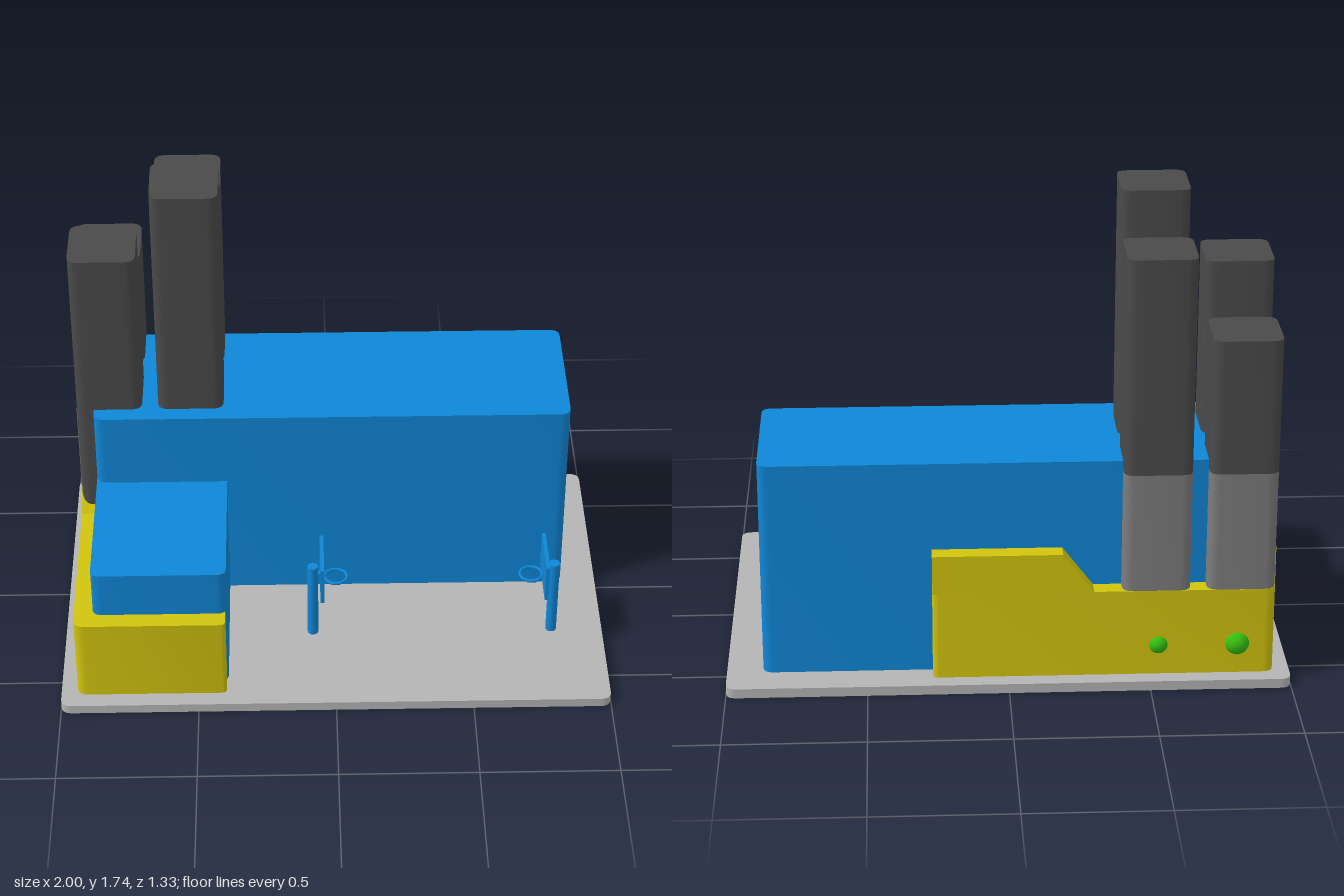
import * as THREE from 'three';
import { toCreasedNormals } from 'three/addons/utils/BufferGeometryUtils.js';

const paint = (color) => new THREE.MeshStandardMaterial({ color });
const blue = paint(0x0f86d6), yellow = paint(0xd2c40e), dark = paint(0x4a4a4a);
const grey = paint(0x7c7c7c), paving = paint(0xb4b4b4), green = paint(0x35c010);

export function createModel() {
  const root = new THREE.Group();

  function add(name, geometry, material, parent = root) {
    const mesh = new THREE.Mesh(geometry, material);
    mesh.name = name;
    parent.add(mesh);
    return mesh;
  }

  // Closed plan outline from [x, z, cornerRadius] points
  function outline(points) {
    const shape = new THREE.Shape();
    const n = points.length;
    points.forEach(([x, z, r], i) => {
      const p = new THREE.Vector2(x, -z);
      const toward = (q) => new THREE.Vector2(q[0], -q[1]).sub(p).setLength(r).add(p);
      const a = toward(points[(i + n - 1) % n]);
      const b = toward(points[(i + 1) % n]);
      if (i) shape.lineTo(a.x, a.y); else shape.moveTo(a.x, a.y);
      if (r) shape.quadraticCurveTo(p.x, p.y, b.x, b.y);
    });
    shape.closePath();
    return shape;
  }

  // Upright block raised from a plan outline
  function raise(name, points, y0, y1, material) {
    const g = new THREE.ExtrudeGeometry(outline(points), { depth: y1 - y0, bevelEnabled: false, curveSegments: 6 });
    g.rotateX(-Math.PI / 2).translate(0, y0, 0);
    return add(name, toCreasedNormals(g, 0.6), material);
  }

  const rect = (x0, x1, z0, z1, r = 0.04) => [[x0, z1, r], [x1, z1, r], [x1, z0, r], [x0, z0, r]];

  // Ground and halls
  raise('groundSlab', rect(-1, 1, -0.665, 0.665), 0, 0.035, paving);
  raise('mainHall', rect(-0.875, 0.872, -0.54, 0), 0.035, 0.83, blue);
  raise('frontHall', [[-0.875, 0.54, 0.035], [-0.392, 0.54, 0.035], [-0.392, -0.05, 0], [-0.875, -0.05, 0]],
    0.035, 0.54, blue);

  // Low wall wrapping the front, side and back
  const wallX = -0.942, wallZ = -0.604;
  raise('lowWall', [
    [wallX, 0.604, 0.04], [-0.398, 0.604, 0.02], [-0.398, 0.52, 0], [-0.86, 0.52, 0],
    [-0.86, -0.52, 0], [0.268, -0.52, 0], [0.268, wallZ, 0.02], [wallX, wallZ, 0.04],
  ], 0.035, 0.36, yellow);

  // Raised wall sections with a sloping end
  const profile = (points, depth) => new THREE.ExtrudeGeometry(
    new THREE.Shape(points.map(([x, y]) => new THREE.Vector2(x, y))), { depth, bevelEnabled: false });
  add('raisedBackWall',
    profile([[-0.3, 0.36], [0.268, 0.36], [0.268, 0.505], [-0.19, 0.505]], 0.084).translate(0, 0, wallZ), yellow);
  add('raisedSideWall',
    profile([[0.04, 0.36], [0.565, 0.36], [0.565, 0.505], [0.15, 0.505]], 0.08)
      .rotateY(Math.PI / 2).translate(wallX, 0, 0), yellow);

  // Chimneys: [x, z, top, bottom of the dark stack]
  const chimneys = [
    [-0.819, -0.483, 1.29, 0.8], [-0.52, -0.483, 1.585, 0.8],
    [-0.819, -0.183, 1.475, 0.3], [-0.52, -0.183, 1.735, 0.7],
  ];
  const half = 0.1205;
  for (const [x, z, top, bottom] of chimneys) {
    const plan = rect(x - half, x + half, z - half, z + half);
    raise('chimney', plan, bottom, top, dark);
    if (bottom === 0.8) raise('chimneyFoot', plan, 0.035, 0.8, grey);
  }
  add('chimneySidePanel', new THREE.BoxGeometry(0.01, 0.45, 0.16), grey).position.set(-0.9365, 0.575, -0.183);

  // Domed lamps on the walls
  for (const [x, z, r] of [[-0.81, -0.59, 0.045], [-0.53, -0.59, 0.036], [-0.925, -0.295, 0.038]]) {
    add('wallDome', new THREE.SphereGeometry(r, 20, 14), green).position.set(x, 0.148, z);
  }

  // Two facing ball hoops
  for (const [x, facing] of [[-0.08, 1], [0.81, -1]]) {
    const hoop = new THREE.Group();
    hoop.name = 'ballHoop';
    hoop.position.set(x, 0, 0.27);
    hoop.rotation.y = facing > 0 ? 0 : Math.PI;
    add('post', new THREE.CylinderGeometry(0.02, 0.02, 0.315, 16), blue, hoop).position.y = 0.1925;
    add('backboard', new THREE.BoxGeometry(0.014, 0.15, 0.205), blue, hoop).position.set(0.034, 0.335, 0);
    add('bracket', new THREE.BoxGeometry(0.03, 0.02, 0.02), blue, hoop).position.set(0.02, 0.31, 0);
    const ring = add('ring', new THREE.TorusGeometry(0.042, 0.006, 8, 10), blue, hoop);
    ring.rotation.x = Math.PI / 2;
    ring.position.set(0.085, 0.3, 0);
    root.add(hoop);
  }

  return root;
}
